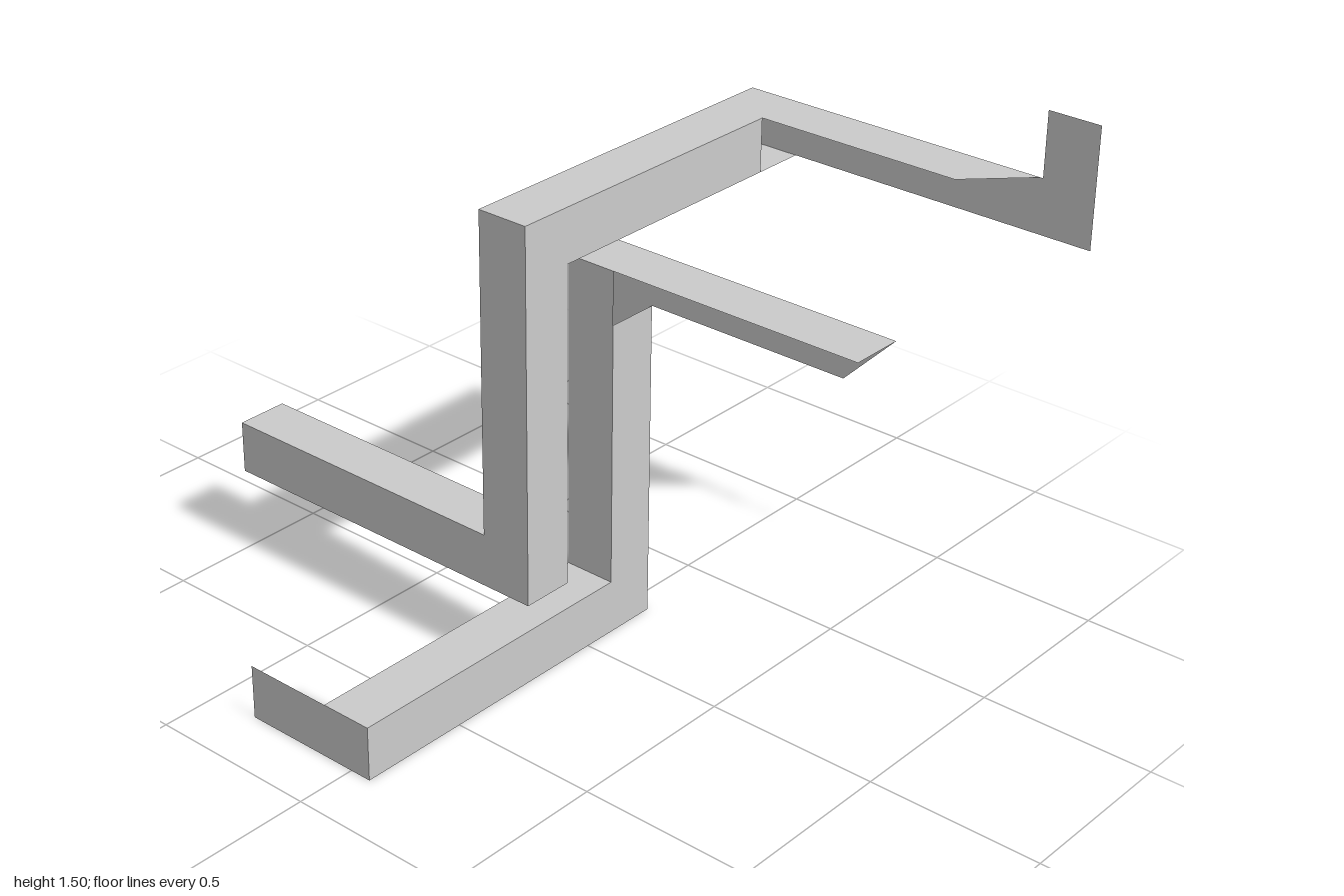
import * as THREE from 'three';

const material = new THREE.MeshStandardMaterial({
  color: 0xcccccc, flatShading: true, side: THREE.DoubleSide,
});
const SIDES = ['+x', '-x', '+y', '-y', '+z', '-z'];

function addMesh(group, name, geometry) {
  const mesh = new THREE.Mesh(geometry, material);
  mesh.name = name;
  group.add(mesh);
}

// Square tube section between two limits per axis, left open on the listed sides
function addBar(group, name, [x0, x1], [y0, y1], [z0, z1], open) {
  const g = new THREE.BoxGeometry(x1 - x0, y1 - y0, z1 - z0);
  g.translate((x0 + x1) / 2, (y0 + y1) / 2, (z0 + z1) / 2);
  const index = Array.from(g.index.array);
  g.setIndex(index.filter((_, i) => !open.includes(SIDES[Math.floor(i / 6)])));
  g.clearGroups();
  addMesh(group, name, g);
}

function flat(points) {
  return new THREE.ShapeGeometry(new THREE.Shape(points.map(([a, b]) => new THREE.Vector2(a, b))));
}

// Thin upright sheet at a fixed x, outlined in (z, y)
function addWall(group, name, x, points) {
  addMesh(group, name, flat(points).rotateY(-Math.PI / 2).translate(x, 0, 0));
}

// Thin level sheet at a fixed y, outlined in (x, z)
function addDeck(group, name, y, points) {
  addMesh(group, name, flat(points).rotateX(Math.PI / 2).translate(0, y, 0));
}

function upperFrame() {
  const g = new THREE.Group();
  g.name = 'upperFrame';
  const post = [-0.25, -0.097], z = [-0.077, 0.077];
  const low = [0.247, 0.4], top = [1.168, 1.322];
  const inner = 0.672, outer = 0.825;

  addBar(g, 'backArm', post, low, [-1, z[0]], ['+z']);
  addBar(g, 'lowerCorner', post, low, z, ['-z', '+y']);
  addBar(g, 'post', post, [low[1], top[0]], z, ['+y', '-y']);
  addBar(g, 'upperCorner', post, top, z, ['-y', '+x']);
  addBar(g, 'topBeam', [post[1], inner], top, z, ['+x', '-x']);
  addBar(g, 'endCorner', [inner, outer], top, z, ['-x', '+z']);

  // Open front arm: mitred top sheet and outer sheet with a raised tab
  addDeck(g, 'frontArmTop', top[1],
    [[inner, z[1]], [outer, z[1]], [outer, 0.84], [inner, 0.687]]);
  addWall(g, 'frontArmSide', outer, [
    [z[1], top[0]], [1, top[0]], [1, 1.505], [0.847, 1.505], [0.847, top[1]], [z[1], top[1]],
  ]);
  return g;
}

function lowerFrame() {
  const g = new THREE.Group();
  g.name = 'lowerFrame';
  const post = [0.093, 0.247], z = [-0.089, 0.064];
  const low = [0, 0.157], top = [0.925, 1.078];
  const inner = -0.672, outer = -0.825;

  addBar(g, 'endCorner', [outer, inner], low, z, ['+x', '-z']);
  addBar(g, 'baseBeam', [inner, post[0]], low, z, ['+x', '-x']);
  addBar(g, 'lowerCorner', post, low, z, ['-x', '+y']);
  addBar(g, 'post', post, [low[1], top[0]], z, ['+y', '-y']);
  addBar(g, 'upperCorner', post, top, z, ['-y', '+z']);

  // Open front arm: square top sheet and slanted outer sheet
  addDeck(g, 'frontArmTop', top[1],
    [[post[0], z[1]], [post[1], z[1]], [post[1], 0.83], [post[0], 0.83]]);
  addWall(g, 'frontArmSide', post[1],
    [[z[1], top[0]], [0.68, top[0]], [0.83, top[1]], [z[1], top[1]]]);

  // Short open back arm: floor sheet and outer sheet
  addDeck(g, 'backArmFloor', low[0],
    [[outer, z[0]], [inner, z[0]], [inner, -0.355], [outer, -0.355]]);
  addWall(g, 'backArmSide', outer,
    [[z[0], low[0]], [-0.355, low[0]], [-0.355, low[1]], [z[0], low[1]]]);
  return g;
}

export function createModel() {
  const model = new THREE.Group();
  model.name = 'interlockedFrames';
  model.add(upperFrame(), lowerFrame());
  return model;
}
